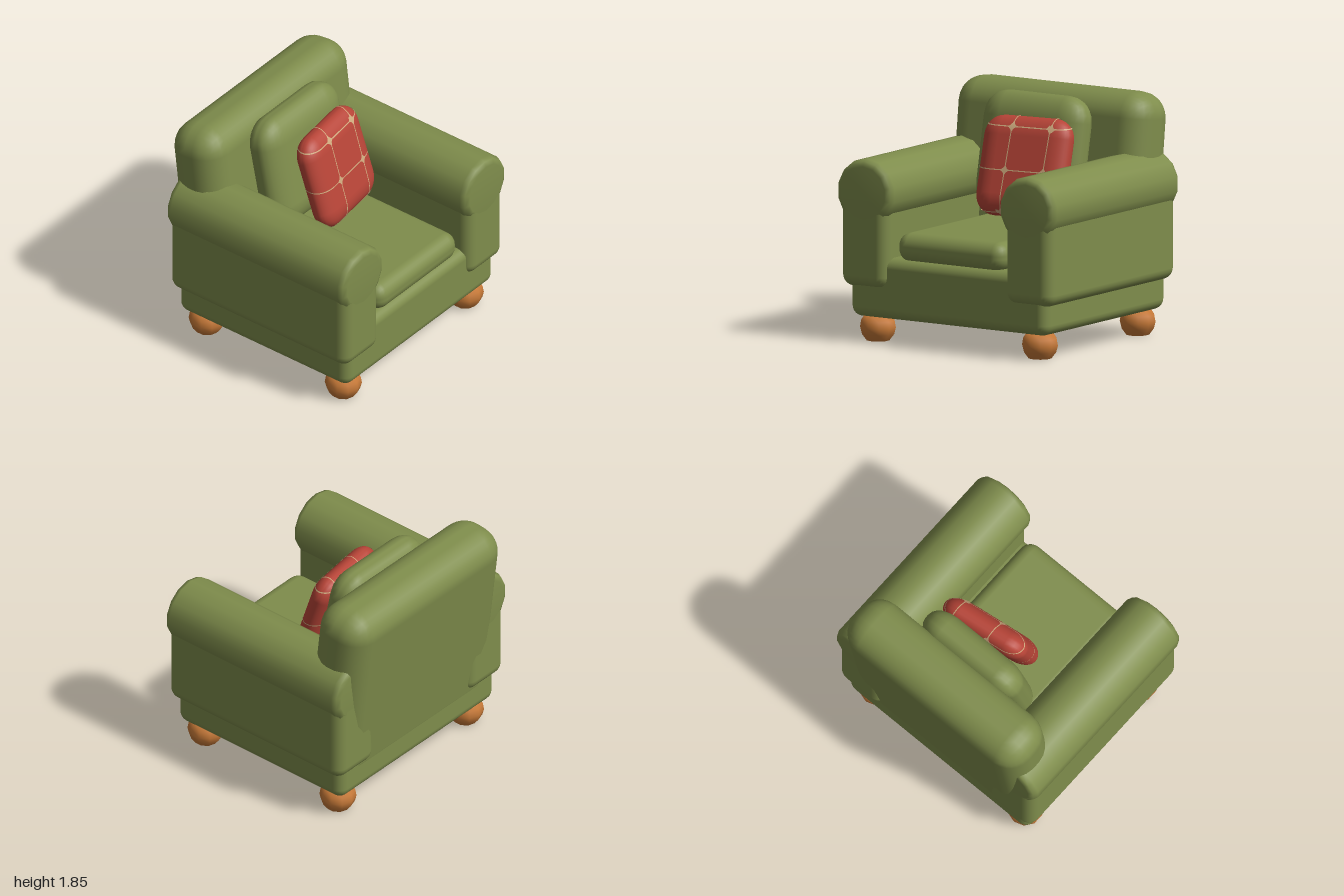
import * as THREE from 'three';
import { RoundedBoxGeometry } from 'three/addons/geometries/RoundedBoxGeometry.js';

const material = (name, color, side = THREE.FrontSide) => {
  const m = new THREE.MeshStandardMaterial({ color, side });
  m.name = name;
  return m;
};

// Rounded box whose corner radius may differ along each axis
function softBox(size, radii, segments = 3) {
  const [w, h, d] = size, [rx, ry, rz] = radii;
  return new RoundedBoxGeometry(w / rx, h / ry, d / rz, segments, 1).scale(rx, ry, rz);
}

export function createModel() {
  const root = new THREE.Group();
  root.name = 'armchair';
  const fabric = material('olive fabric', 0x7f8d4c);
  const wood = material('orange wood', 0xc87a38);
  const red = material('red cushion fabric', 0xb74437);
  const thread = material('beige stitching', 0xcca87c, THREE.DoubleSide);

  const add = (name, geometry, mat, x, y, z) => {
    const mesh = new THREE.Mesh(geometry, mat);
    mesh.name = name;
    mesh.position.set(x, y, z);
    root.add(mesh);
    return mesh;
  };

  // Base and seat
  add('base', softBox([1.8, 0.47, 1.64], [0.08, 0.08, 0.08]), fabric, 0, 0.425, 0.05);
  add('seatCushion', softBox([0.98, 0.225, 1.4], [0.1, 0.1, 0.1]), fabric, 0, 0.75, 0.16);

  // Leaning backrest and its loose cushion
  const back = add('backrest', softBox([1.76, 1.6, 0.47], [0.2, 0.2, 0.2]), fabric, 0, 1.05, -0.61);
  back.rotation.x = -0.116;
  const backCushion = add('backCushion', softBox([0.93, 0.92, 0.29], [0.2, 0.2, 0.13]), fabric, 0, 1.36, -0.3);
  backCushion.rotation.x = -0.2;

  // Arms: upright panel with a padded roll on top
  const R = 0.258, L = 0.86, b = 0.055;
  const rollProfile = [
    [0, -L], [R - b, -L], [R - b * 0.3, -L + b * 0.3], [R, -L + b],
    [R, L - b], [R - b * 0.3, L - b * 0.3], [R - b, L], [0, L],
  ].map(([x, y]) => new THREE.Vector2(x, y));
  // Bun feet
  const footProfile = [
    [0, 0], [0.09, 0], [0.09, 0], [0.128, 0.05], [0.141, 0.1], [0.132, 0.15], [0.1, 0.198], [0, 0.2],
  ].map(([x, y]) => new THREE.Vector2(x, y));

  for (const [side, s] of [['left', 1], ['right', -1]]) {
    add(side + 'ArmPanel', softBox([0.43, 0.7, 1.72], [0.09, 0.09, 0.09]), fabric, s * 0.75, 0.77, 0.05);
    const roll = add(side + 'ArmRoll', new THREE.LatheGeometry(rollProfile, 14), fabric, s * 0.743, 1.15, 0.05);
    roll.rotation.x = Math.PI / 2;
    add(side + 'FrontFoot', new THREE.LatheGeometry(footProfile, 10), wood, s * 0.74, 0, 0.71);
    add(side + 'BackFoot', new THREE.LatheGeometry(footProfile, 10), wood, s * 0.74, 0, -0.605);
  }

  // Red scatter cushion, leaning back and turned a little
  const size = [0.74, 0.77, 0.21], radii = [0.16, 0.16, 0.1];
  const pillow = add('scatterCushion', softBox(size, radii, 4), red, 0.1, 1.3, -0.035);
  pillow.rotation.set(-0.3, 0.13, 0, 'YXZ');
  pillow.updateMatrix();
  const toLocal = pillow.matrix.clone().invert();

  // True while a point lies within the cushion, grown by the thread thickness
  const inside = (point) => {
    const p = point.clone().applyMatrix4(toLocal).toArray();
    return Math.hypot(...p.map((v, i) =>
      Math.max(Math.abs(v) - (size[i] / 2 - radii[i]), 0) / (radii[i] + 0.004))) < 1;
  };
  const surface = (start, dir) => {
    let lo = 0, hi = 1;
    for (let i = 0; i < 16; i++) {
      const mid = (lo + hi) / 2;
      if (inside(start.clone().addScaledVector(dir, mid))) lo = mid; else hi = mid;
    }
    return start.clone().addScaledVector(dir, lo);
  };

  // Stitched bands round the cushion, widening to a diamond where they cross
  const lines = { x: [0, 0.32], y: [0.965, 1.285, 1.605] };
  function stitchBand(axis, value) {
    const other = axis === 'x' ? 'y' : 'x', n = 240;
    const along = new THREE.Vector3(axis === 'x' ? 1 : 0, axis === 'y' ? 1 : 0, 0)
      .applyQuaternion(pillow.quaternion);
    const startAt = (v) => pillow.position.clone()
      .addScaledVector(along, (v - pillow.position[axis]) / along[axis]);
    const positions = [], index = [];
    for (let i = 0; i <= n; i++) {
      const a = (i / n) * Math.PI * 2;
      const dir = new THREE.Vector3(0, 0, Math.cos(a));
      dir[other] = Math.sin(a);
      const mid = surface(startAt(value), dir);
      const gap = Math.min(...lines[other].map((v) => Math.abs(v - mid[other])));
      const half = 0.004 + 0.022 * Math.max(0, 1 - gap / 0.032);
      for (const s of [-1, 1]) positions.push(...surface(startAt(value + s * half), dir).toArray());
      if (i < n) index.push(2 * i, 2 * i + 1, 2 * i + 2, 2 * i + 1, 2 * i + 3, 2 * i + 2);
    }
    const g = new THREE.BufferGeometry();
    g.setAttribute('position', new THREE.Float32BufferAttribute(positions, 3));
    g.setIndex(index);
    g.computeVertexNormals();
    return g;
  }
  for (const axis of ['x', 'y'])
    for (const v of lines[axis])
      add(axis === 'x' ? 'uprightStitching' : 'levelStitching', stitchBand(axis, v), thread, 0, 0, 0);

  return root;
}
